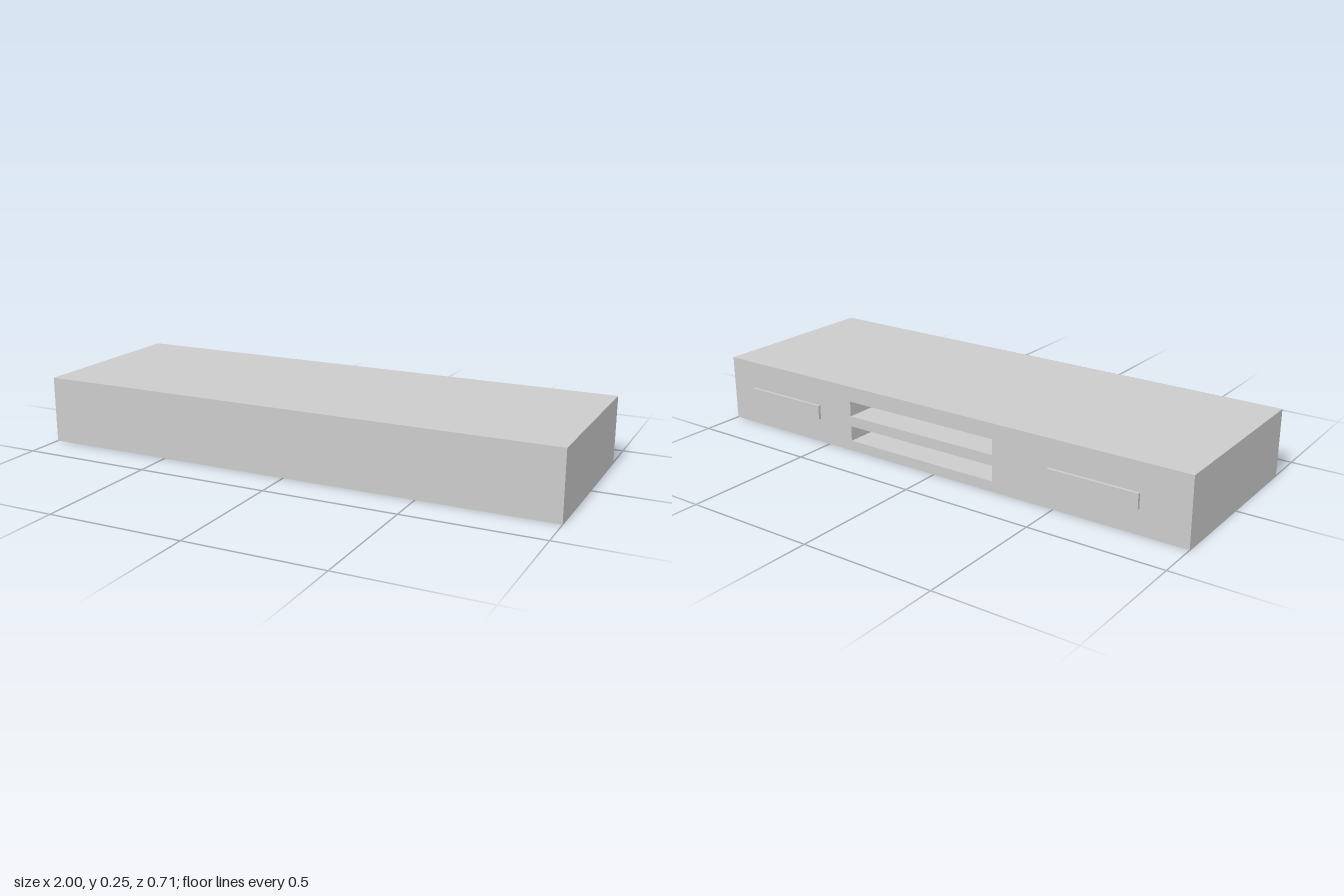
import * as THREE from 'three';

const material = new THREE.MeshStandardMaterial({ color: 0xcccccc });
const H = 0.253, FRONT = 0.353, BACK = -0.342;

// Box given by its limits; optionally without its back face, or turned inside out
function box(x0, x1, y0, y1, z0, z1, { open = false, inward = false } = {}) {
  let g = new THREE.BoxGeometry(x1 - x0, y1 - y0, z1 - z0);
  g.translate((x0 + x1) / 2, (y0 + y1) / 2, (z0 + z1) / 2);
  let index = Array.from(g.index.array);
  if (open) index = index.slice(0, 30); // the last six indices are the -z face
  if (inward) index.reverse();
  g.setIndex(index);
  g.clearGroups();
  g = g.toNonIndexed();
  g.computeVertexNormals();
  return g;
}

function rect(path, x0, x1, y0, y1) {
  path.moveTo(x0, y0);
  path.lineTo(x1, y0);
  path.lineTo(x1, y1);
  path.lineTo(x0, y1);
  path.closePath();
  return path;
}

export function createModel() {
  const model = new THREE.Group();
  model.name = 'slottedBox';
  const add = (name, geometry) => {
    const mesh = new THREE.Mesh(geometry, material);
    mesh.name = name;
    model.add(mesh);
  };

  // Casing, open at the back
  add('casing', box(-1, 1, 0, H, BACK, FRONT, { open: true }));

  // Two long recessed slots, one above the other
  const slotX = [-0.253, 0.387], slotDepth = 0.4;
  const slots = { lowerSlot: [0.039, 0.097], upperSlot: [0.137, 0.195] };

  // Back panel pierced by the slots (drawn with x mirrored, then turned to face -z)
  const panel = rect(new THREE.Shape(), -1, 1, 0, H);
  for (const [name, [y0, y1]] of Object.entries(slots)) {
    panel.holes.push(rect(new THREE.Path(), -slotX[1], -slotX[0], y0, y1));
    add(name, box(...slotX, y0, y1, BACK, BACK + slotDepth, { open: true, inward: true }));
  }
  add('backPanel', new THREE.ShapeGeometry(panel).rotateY(Math.PI).translate(0, 0, BACK));

  // Thin raised tabs beside the slots
  add('rightTab', box(-0.82, -0.48, 0.093, 0.148, -FRONT, BACK));
  add('leftTab', box(0.54, 0.89, 0.093, 0.148, -FRONT, BACK));

  return model;
}
